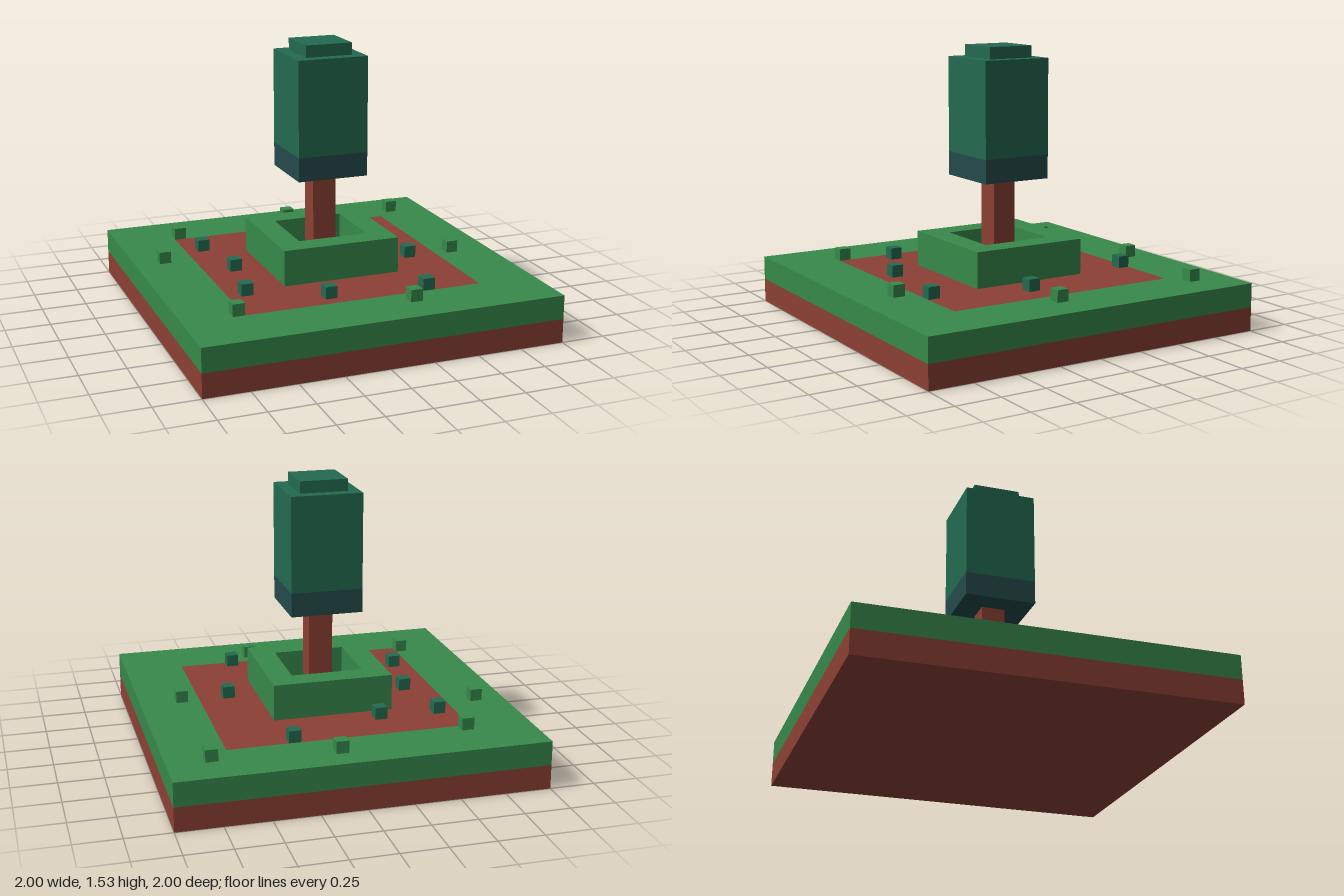
import * as THREE from 'three';

const V = 1 / 15; // one block of the model's grid

const material = (name, color) => {
  const m = new THREE.MeshStandardMaterial({ color });
  m.name = name;
  return m;
};

export function createModel() {
  const model = new THREE.Group();
  model.name = 'treeGarden';
  const grass = material('grassGreen', 0x37894b);
  const earth = material('earthBrown', 0x8c4034);
  const leaf = material('leafGreen', 0x236a50);
  const leafShade = material('shadedLeaf', 0x244a4b);

  const add = (name, geometry, mat, x = 0, y = 0, z = 0) => {
    const mesh = new THREE.Mesh(geometry, mat);
    mesh.name = name;
    mesh.position.set(x, y, z);
    model.add(mesh);
  };

  // Square block standing on height y0
  const block = (name, half, y0, y1, mat, x = 0, z = 0) =>
    add(name, new THREE.BoxGeometry(half * 2, y1 - y0, half * 2), mat, x, (y0 + y1) / 2, z);

  // Square ring with a square opening
  const ring = (name, outer, inner, y0, y1, mat) => {
    const corners = (h) => [[-h, -h], [h, -h], [h, h], [-h, h]].map(([x, y]) => new THREE.Vector2(x, y));
    const shape = new THREE.Shape(corners(outer));
    shape.holes.push(new THREE.Path(corners(inner).reverse()));
    const geometry = new THREE.ExtrudeGeometry(shape, { depth: y1 - y0, bevelEnabled: false });
    geometry.rotateX(-Math.PI / 2);
    add(name, geometry, mat, 0, y0, 0);
  };

  // Ground: earth layer, lawn border and a bare path flush with the lawn
  block('earthLayer', 1, 0, 2 * V, earth);
  ring('lawn', 1, 10 * V, 2 * V, 4 * V, grass);
  block('path', 10 * V, 2 * V, 4 * V, earth);

  // Hollow planter around the tree
  ring('planter', 5 * V, 3 * V, 4 * V, 7 * V, grass);

  // Tree
  block('trunk', V, 4 * V, 12 * V, earth);
  block('lowerCanopy', 3 * V, 12 * V, 14 * V, leafShade);
  block('canopy', 3 * V, 14 * V, 22 * V, leaf);
  block('canopyTop', 2 * V, 22 * V, 23 * V, leaf);

  // Small tufts on the lawn and path
  const lawnTufts = [
    [0.1, -0.833], [0.767, -0.767], [-0.633, -0.7], [-0.833, -0.3],
    [0.767, 0.1], [-0.7, 0.633], [0.233, 0.767],
  ];
  const pathTufts = [
    [0.3, -0.633], [-0.567, -0.433], [-0.233, -0.433], [-0.5, -0.033],
    [0.5, 0.1], [-0.567, 0.367], [-0.167, 0.567], [0.367, 0.633],
  ];
  for (const [x, z] of lawnTufts) block('lawnTuft', V / 2, 4 * V, 5 * V, grass, x, z);
  for (const [x, z] of pathTufts) block('pathTuft', V / 2, 4 * V, 5 * V, leaf, x, z);

  return model;
}
